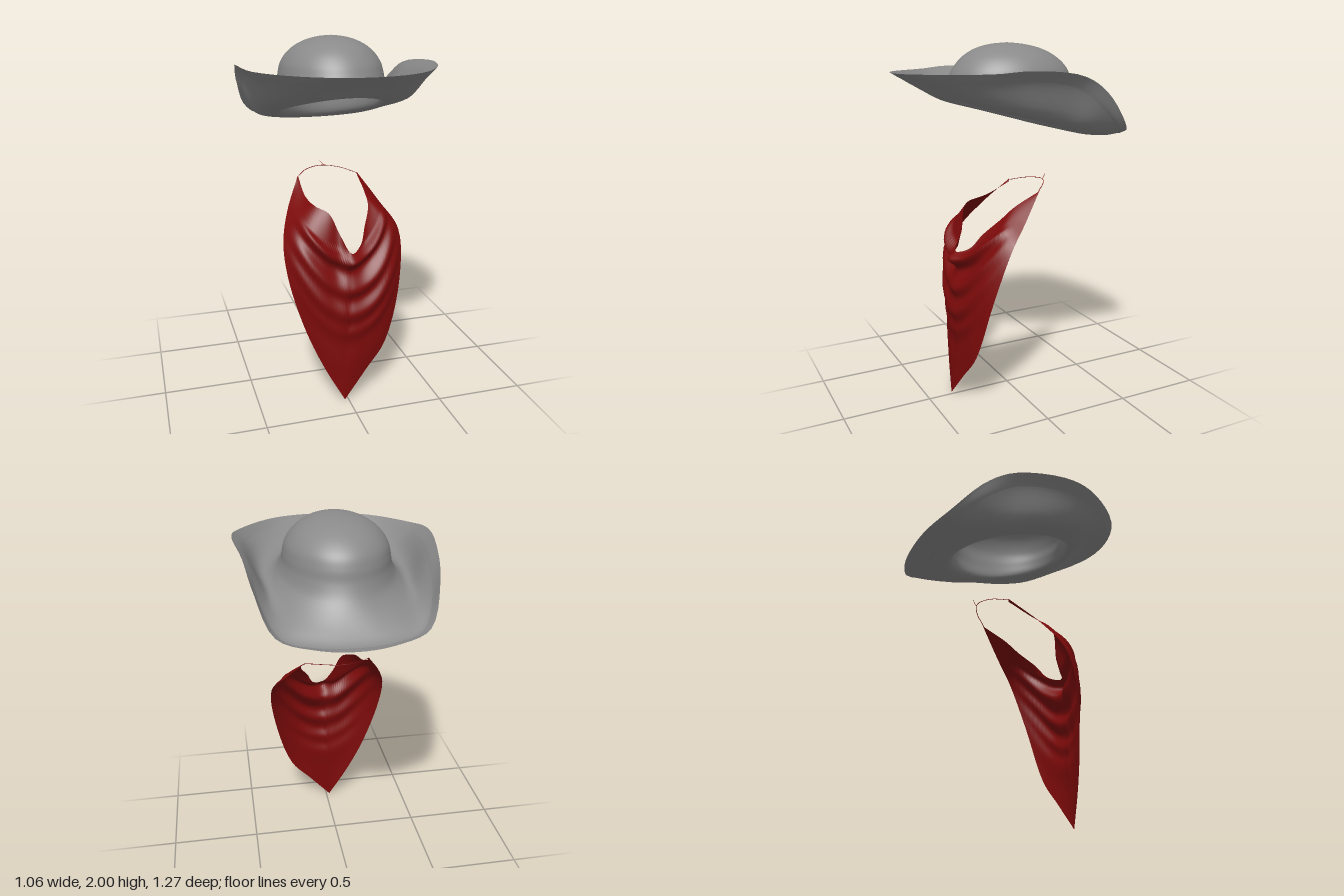
import * as THREE from 'three';

const felt = new THREE.MeshStandardMaterial({ color: 0x8a8a8a, side: THREE.DoubleSide });
felt.name = 'greyFelt';
const cloth = new THREE.MeshStandardMaterial({ color: 0x7c0a0a, side: THREE.DoubleSide });
cloth.name = 'redCloth';

const V = (x, y, z) => new THREE.Vector3(x, y, z);
const spline = (pts, closed = false) => new THREE.CatmullRomCurve3(pts.map(p => V(...p)), closed);
const N = 72; // points around the hat

// Smooth sheet through rows of points
function sheet(name, rows, material, closed) {
  const n = rows[0].length, index = [];
  for (let i = 0; i < rows.length - 1; i++) {
    for (let j = 0; j < (closed ? n : n - 1); j++) {
      const a = i * n + j, b = i * n + (j + 1) % n;
      index.push(a, b, a + n, b, b + n, a + n);
    }
  }
  const geo = new THREE.BufferGeometry().setFromPoints(rows.flat());
  geo.setIndex(index);
  geo.computeVertexNormals();
  const mesh = new THREE.Mesh(geo, material);
  mesh.name = name;
  return mesh;
}

// Blend a few rings into many, column by column
function loft(rings, steps) {
  const columns = rings[0].map((_, j) => spline(rings.map(r => r[j])).getPoints(steps));
  return columns[0].map((_, i) => columns.map(c => c[i]));
}

// Egg-shaped crown ring, starting at the front; tilt raises the front
function crownRing(y, rx, front, back, tilt = 0) {
  return Array.from({ length: N }, (_, j) => {
    const a = j / N * Math.PI * 2, c = Math.cos(a);
    return V(rx * Math.sin(a), y + tilt * c, (front + back) / 2 + (front - back) / 2 * c);
  });
}

// Brim ring from half its outline (front to back), mirrored
function brimRing(half) {
  const mirrored = half.slice(1, -1).reverse().map(([x, y, z]) => [-x, y, z]);
  const curve = spline([...half, ...mirrored], true);
  return Array.from({ length: N }, (_, j) => curve.getPoint(j / N));
}

// Hat: a top skin and a lining that meet at the upturned rim
function buildHat() {
  const rim = brimRing([
    [0, 1.845, 0.638], [0.265, 1.847, 0.565], [0.485, 1.852, 0.31], [0.53, 1.865, 0.12], [0.492, 1.83, -0.2],
    [0.46, 1.73, -0.37], [0.375, 1.55, -0.54], [0.2, 1.51, -0.613], [0, 1.497, -0.635]]);
  const slope = brimRing([
    [0, 1.825, 0.58], [0.25, 1.81, 0.52], [0.435, 1.8, 0.3], [0.475, 1.81, 0.1], [0.45, 1.77, -0.18],
    [0.43, 1.66, -0.35], [0.345, 1.53, -0.51], [0.19, 1.5, -0.565], [0, 1.492, -0.58]]);
  const topValley = brimRing([
    [0, 1.79, 0.48], [0.2, 1.77, 0.43], [0.345, 1.725, 0.27], [0.388, 1.685, 0.08], [0.378, 1.655, -0.15],
    [0.36, 1.61, -0.3], [0.285, 1.565, -0.44], [0.15, 1.55, -0.492], [0, 1.545, -0.505]]);
  const underValley = brimRing([
    [0, 1.775, 0.48], [0.2, 1.75, 0.43], [0.345, 1.695, 0.27], [0.385, 1.65, 0.08], [0.375, 1.605, -0.15],
    [0.36, 1.56, -0.3], [0.29, 1.51, -0.44], [0.15, 1.488, -0.49], [0, 1.482, -0.5]]);
  const top = [
    rim, slope, topValley,
    crownRing(1.71, 0.315, 0.37, -0.415, 0.055),
    crownRing(1.765, 0.288, 0.338, -0.38, 0.03),
    crownRing(1.81, 0.28, 0.325, -0.368, 0.01),
    crownRing(1.86, 0.266, 0.305, -0.345),
    crownRing(1.92, 0.222, 0.255, -0.285),
    crownRing(1.965, 0.155, 0.185, -0.2),
    crownRing(1.99, 0.08, 0.1, -0.1),
    crownRing(2.0, 0, 0, 0),
  ];
  const lining = [
    rim, slope, underValley,
    crownRing(1.615, 0.268, 0.37, -0.385, 0.1),
    crownRing(1.7, 0.262, 0.325, -0.36, 0.06),
    crownRing(1.8, 0.26, 0.3, -0.345, 0.02),
    crownRing(1.9, 0.215, 0.25, -0.28),
    crownRing(1.96, 0.13, 0.16, -0.17),
    crownRing(1.985, 0, 0, 0),
  ];
  const hat = new THREE.Group();
  hat.name = 'hat';
  hat.add(sheet('brimAndCrown', loft(top, 60), felt, true));
  hat.add(sheet('lining', loft(lining, 48), felt, true));
  return hat;
}

function buildNeckerchief() {
  const scarf = new THREE.Group();
  scarf.name = 'neckerchief';

  // Neckline from the right tie to the left, and the two outer edges down to the point
  const neckline = spline([
    [-0.165, 1.2, -0.1], [-0.165, 1.135, 0.05], [-0.14, 1.11, 0.18], [-0.08, 1.08, 0.235], [-0.03, 0.97, 0.27],
    [0.02, 0.875, 0.33],
    [0.09, 0.9, 0.275], [0.13, 0.98, 0.215], [0.18, 1.07, 0.125], [0.185, 1.13, 0.045], [0.185, 1.2, -0.1]]);
  const edges = [
    spline([[-0.17, 1.215, -0.1], [-0.27, 1.05, 0.05], [-0.32, 0.9, 0.17], [-0.305, 0.7, 0.24],
      [-0.225, 0.42, 0.29], [-0.13, 0.2, 0.325], [-0.02, 0, 0.355]]),
    spline([[0.187, 1.212, -0.11], [0.283, 1.06, 0.03], [0.355, 0.93, 0.15], [0.335, 0.66, 0.245],
      [0.232, 0.31, 0.305], [0.11, 0.158, 0.33], [-0.02, 0, 0.355]]),
  ];

  // Hanging folds: forward offset by depth below the neckline
  const folds = spline([[0, 0, 0], [0.05, 0.045, 0], [0.12, -0.015, 0], [0.24, 0.022, 0], [0.31, -0.002, 0],
    [0.4, 0.02, 0], [0.47, 0, 0], [0.53, 0.006, 0], [0.6, -0.008, 0], [0.75, 0, 0], [1, 0, 0]]).getPoints(100);
  const foldAt = depth => {
    const k = Math.max(1, folds.findIndex(p => p.x >= depth)), a = folds[k - 1], b = folds[k];
    return THREE.MathUtils.mapLinear(depth, a.x, b.x, a.y, b.y);
  };

  const steps = 60, rows = [];
  for (let i = 80; i >= 0; i--) {
    const v = i / 80, row = [];
    for (let j = 0; j <= steps; j++) {
      const t = j / steps, s = 1 - Math.abs(2 * t - 1); // s: 0 at the ties, 1 in the middle
      const p = neckline.getPoint(t).lerp(edges[t <= 0.5 ? 0 : 1].getPoint(s), v);
      p.z += 0.055 * Math.sin(Math.PI * v) * Math.sin(Math.PI * s ** 1.3);
      // Fold lines sag in a U across the chest
      const depth = THREE.MathUtils.clamp((0.875 - p.y + 3 * (p.x - 0.02) ** 2) / 0.875, 0, 1);
      p.z += foldAt(depth) * THREE.MathUtils.smoothstep(s, 0.15, 0.65) * (1 - v ** 4);
      row.push(p);
    }
    rows.push(row);
  }
  scarf.add(sheet('drapedCloth', rows, cloth, false));

  // Thin tie behind the neck with a loose end
  const tube = (name, pts, r) => {
    const mesh = new THREE.Mesh(new THREE.TubeGeometry(spline(pts), 24, r, 6), cloth);
    mesh.name = name;
    scarf.add(mesh);
  };
  tube('neckTie', [[-0.168, 1.21, -0.1], [-0.1, 1.23, -0.18], [0, 1.238, -0.22], [0.1, 1.23, -0.18], [0.184, 1.208, -0.105]], 0.0018);
  tube('tieEnd', [[0.02, 1.237, -0.22], [0.01, 1.247, -0.235], [0, 1.26, -0.245]], 0.0012);
  return scarf;
}

export function createModel() {
  const model = new THREE.Group();
  model.name = 'hatAndNeckerchief';
  model.add(buildHat(), buildNeckerchief());
  return model;
}
